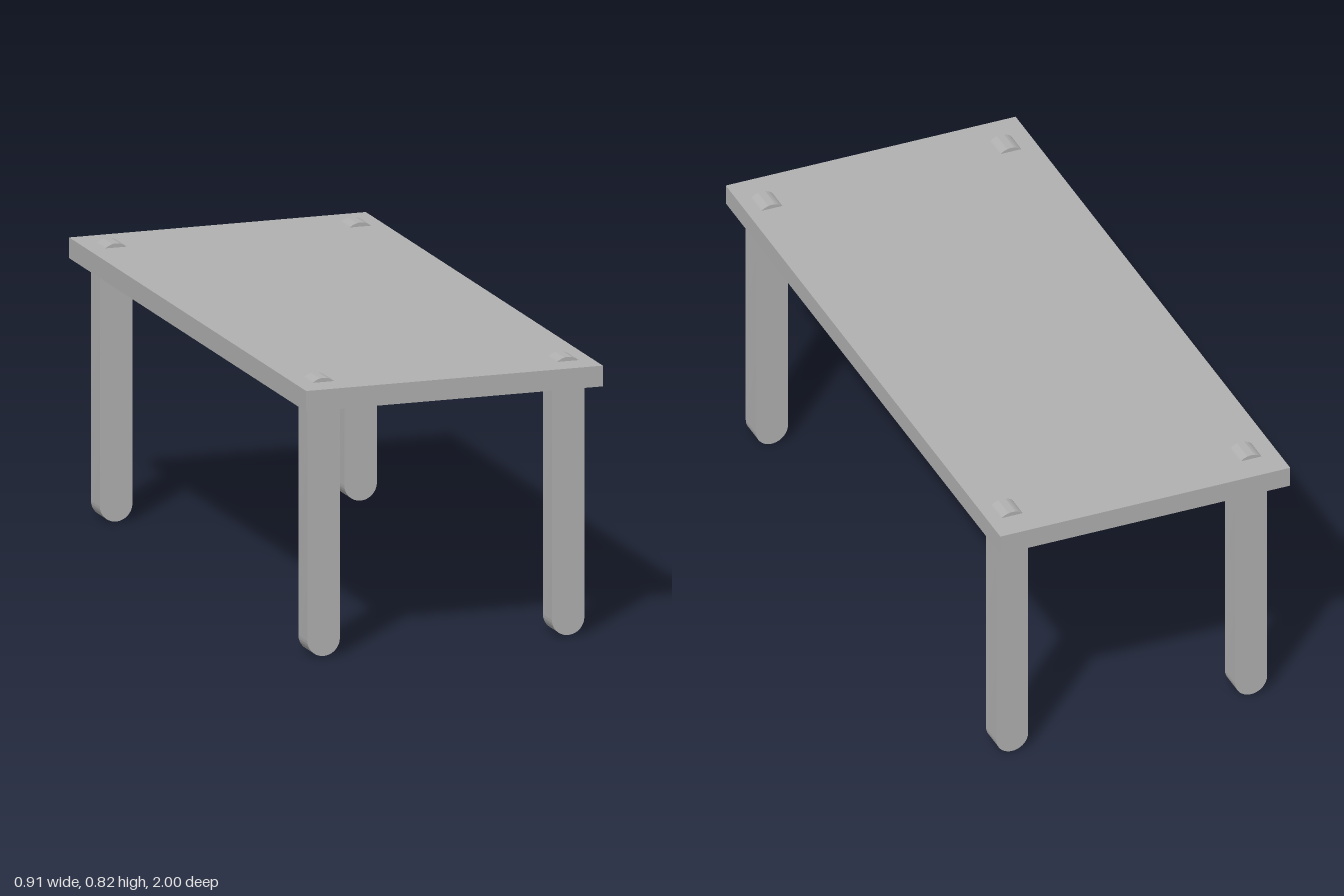
import * as THREE from 'three';
import { toCreasedNormals } from 'three/addons/utils/BufferGeometryUtils.js';

const LEG_RADIUS = 0.05;
const LEG_HEIGHT = 0.825;
const LEG_DEPTH = 0.075;

// Flat bar with semicircular ends, standing on y = 0 and centred on z
function legGeometry() {
  const r = LEG_RADIUS;
  const shape = new THREE.Shape();
  shape.absarc(0, LEG_HEIGHT - r, r, 0, Math.PI, false);
  shape.absarc(0, r, r, Math.PI, Math.PI * 2, false);
  shape.closePath();
  const geometry = new THREE.ExtrudeGeometry(shape, {
    depth: LEG_DEPTH, bevelEnabled: false, curveSegments: 24,
  });
  geometry.translate(0, 0, -LEG_DEPTH / 2);
  return toCreasedNormals(geometry, 0.5);
}

export function createModel() {
  const table = new THREE.Group();
  table.name = 'table';

  const grey = new THREE.MeshStandardMaterial({ color: 0xb0b0b0 });
  grey.name = 'grey';

  // Table top slab
  const top = new THREE.Mesh(new THREE.BoxGeometry(0.91, 0.0615, 2), grey);
  top.name = 'tableTop';
  top.position.y = 0.782;
  table.add(top);

  // Four legs whose rounded ends come through the top
  const leg = legGeometry();
  for (const [side, x] of [['Left', 0.38], ['Right', -0.37]]) {
    for (const [end, z] of [['front', 0.875], ['back', -0.875]]) {
      const mesh = new THREE.Mesh(leg, grey);
      mesh.name = `${end}${side}Leg`;
      mesh.position.set(x, 0, z);
      table.add(mesh);
    }
  }
  return table;
}
